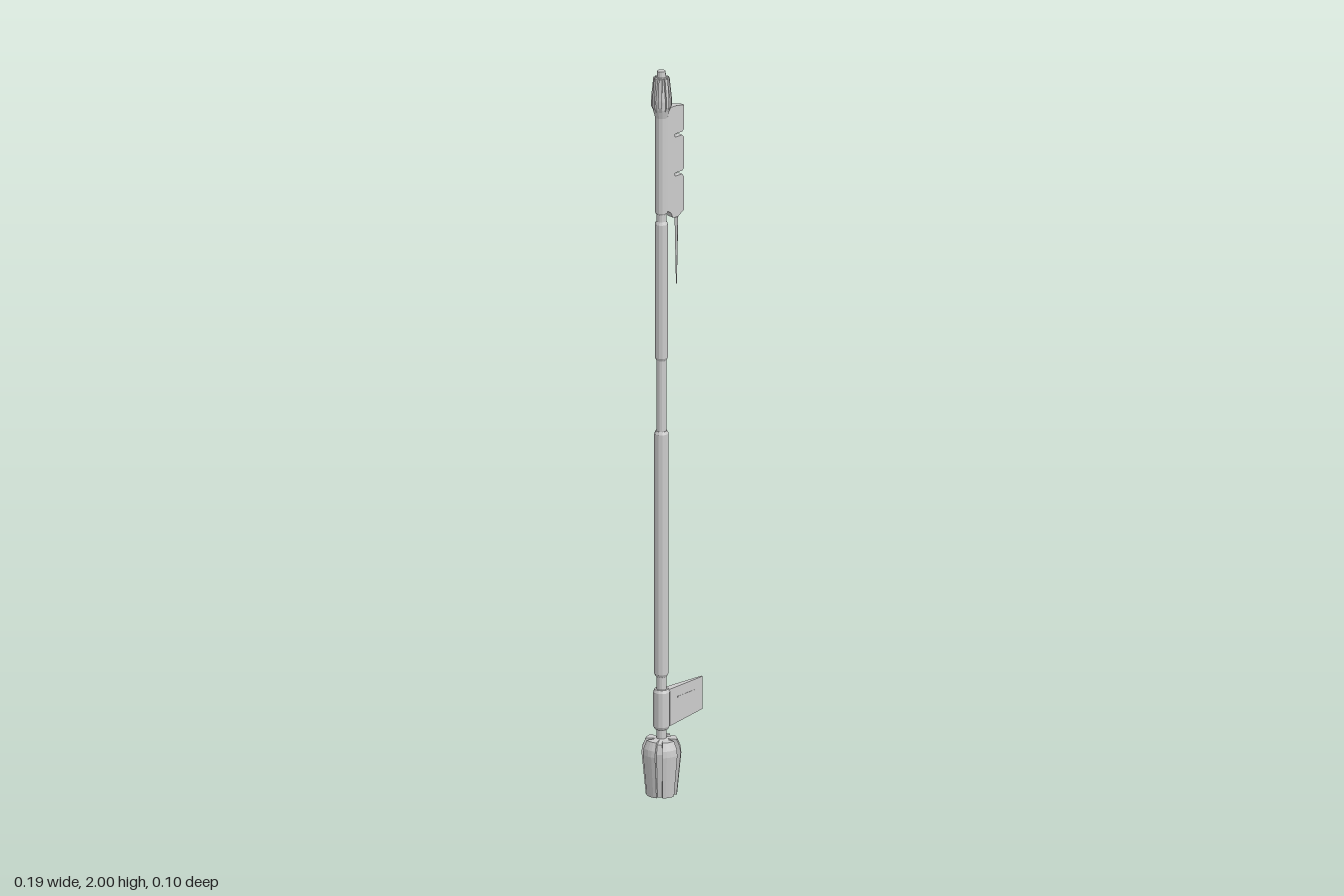
import * as THREE from 'three';

const material = new THREE.MeshStandardMaterial({ color: 0xcccccc, flatShading: true, side: THREE.DoubleSide });
const points = list => list.map(([x, y]) => new THREE.Vector2(x, y));

function add(parent, name, geometry) {
  const mesh = new THREE.Mesh(geometry, material);
  mesh.name = name;
  parent.add(mesh);
  return mesh;
}

// Solid of revolution, profile listed from bottom to top as [radius, y]
const turned = (profile, sides = 12) => new THREE.LatheGeometry(points(profile), sides);

// Rod with small bevels at both ends
function rod(y0, y1, r, bevel = 0.004) {
  return turned([[0, y0], [r - bevel, y0], [r, y0 + bevel * 2], [r, y1 - bevel * 2], [r - bevel, y1], [0, y1]]);
}

// Flat outline whose half thickness depends on x
function wedge(outline, halfThickness) {
  const g = new THREE.ExtrudeGeometry(new THREE.Shape(points(outline)), { depth: 2, bevelEnabled: false });
  const p = g.attributes.position;
  for (let i = 0; i < p.count; i++) p.setZ(i, (p.getZ(i) - 1) * halfThickness(p.getX(i)));
  g.computeVertexNormals();
  return g;
}

export function createModel() {
  const model = new THREE.Group();
  model.name = 'staff';
  const staff = new THREE.Group();
  staff.name = 'staffBody';
  staff.position.x = -0.042;
  model.add(staff);

  // Shaft sections
  add(staff, 'innerShaft', rod(0.1, 1.9, 0.0135, 0.001));
  add(staff, 'finCollar', rod(0.18, 0.29, 0.022));
  add(staff, 'lowerGrip', rod(0.325, 1.005, 0.019));
  add(staff, 'upperGrip', rod(1.2, 1.585, 0.0175));
  add(staff, 'bladeSleeve', rod(1.605, 1.9, 0.0165, 0.002));

  // Foot: core with five curved segments
  add(staff, 'footCore', turned([[0, 0], [0.033, 0], [0.041, 0.12], [0.034, 0.145], [0.013, 0.155], [0, 0.155]], 20));
  const foot = [[0.015, 0], [0.041, 0], [0.052, 0.115], [0.05, 0.132], [0.041, 0.153], [0.015, 0.153]];
  const span = THREE.MathUtils.degToRad(50);
  for (let i = 0; i < 5; i++) {
    const segment = new THREE.Group();
    segment.name = 'footSegment';
    const start = THREE.MathUtils.degToRad(90 - 28 - 72 * i) - span / 2;
    add(segment, 'segmentShell', new THREE.LatheGeometry(points(foot), 4, start, span));
    for (const phi of [start, start + span]) {
      add(segment, 'segmentSide', new THREE.ShapeGeometry(new THREE.Shape(points(foot)))).rotation.y = phi - Math.PI / 2;
    }
    staff.add(segment);
  }

  // Head: bulb, ribs and tip
  add(staff, 'head', turned([[0, 1.87], [0.016, 1.87], [0.023, 1.897], [0.024, 1.92],
    [0.017, 1.978], [0.012, 1.984], [0.011, 2], [0, 2]]));
  for (let i = 0; i < 8; i++) {
    const pivot = new THREE.Group();
    pivot.name = 'headRib';
    pivot.rotation.y = i * Math.PI / 4;
    add(pivot, 'rib', wedge([[0.012, 1.885], [0.018, 1.885], [0.027, 1.905], [0.027, 1.925],
      [0.021, 1.982], [0.012, 1.982]], () => 0.0045));
    staff.add(pivot);
  }

  // Notched upper blade with a spike hanging below it
  add(model, 'upperBlade', wedge([[-0.036, 1.615], [-0.02, 1.605], [-0.012, 1.59], [0.004, 1.588], [0.027, 1.602],
    [0.027, 1.695], [0.021, 1.703], [-0.006, 1.703], [-0.006, 1.712], [0.021, 1.712], [0.027, 1.718],
    [0.027, 1.805], [0.021, 1.811], [-0.006, 1.811], [-0.006, 1.82], [0.021, 1.82], [0.027, 1.826],
    [0.027, 1.893], [0.0, 1.897], [-0.036, 1.897]],
  x => THREE.MathUtils.mapLinear(x, -0.036, 0.027, 0.014, 0.007)));
  const spike = new THREE.CylinderGeometry(0.0065, 0.0015, 0.2, 4);
  add(model, 'spike', spike).position.set(0.008, 1.5, 0);

  // Tapered lower fin with an angled ridge on each face
  const thickness = x => THREE.MathUtils.mapLinear(x, -0.036, 0.093, 0.012, 0.0025);
  add(model, 'lowerFin', wedge([[-0.036, 0.185], [-0.02, 0.185], [0.093, 0.205], [0.093, 0.295], [-0.02, 0.287], [-0.036, 0.287]], thickness));
  add(model, 'finRidge', wedge([[0.005, 0.257], [0.063, 0.261], [0.063, 0.23], [0.067, 0.23], [0.067, 0.265], [0.005, 0.261]],
    x => thickness(x) + 0.0008));

  return model;
}
